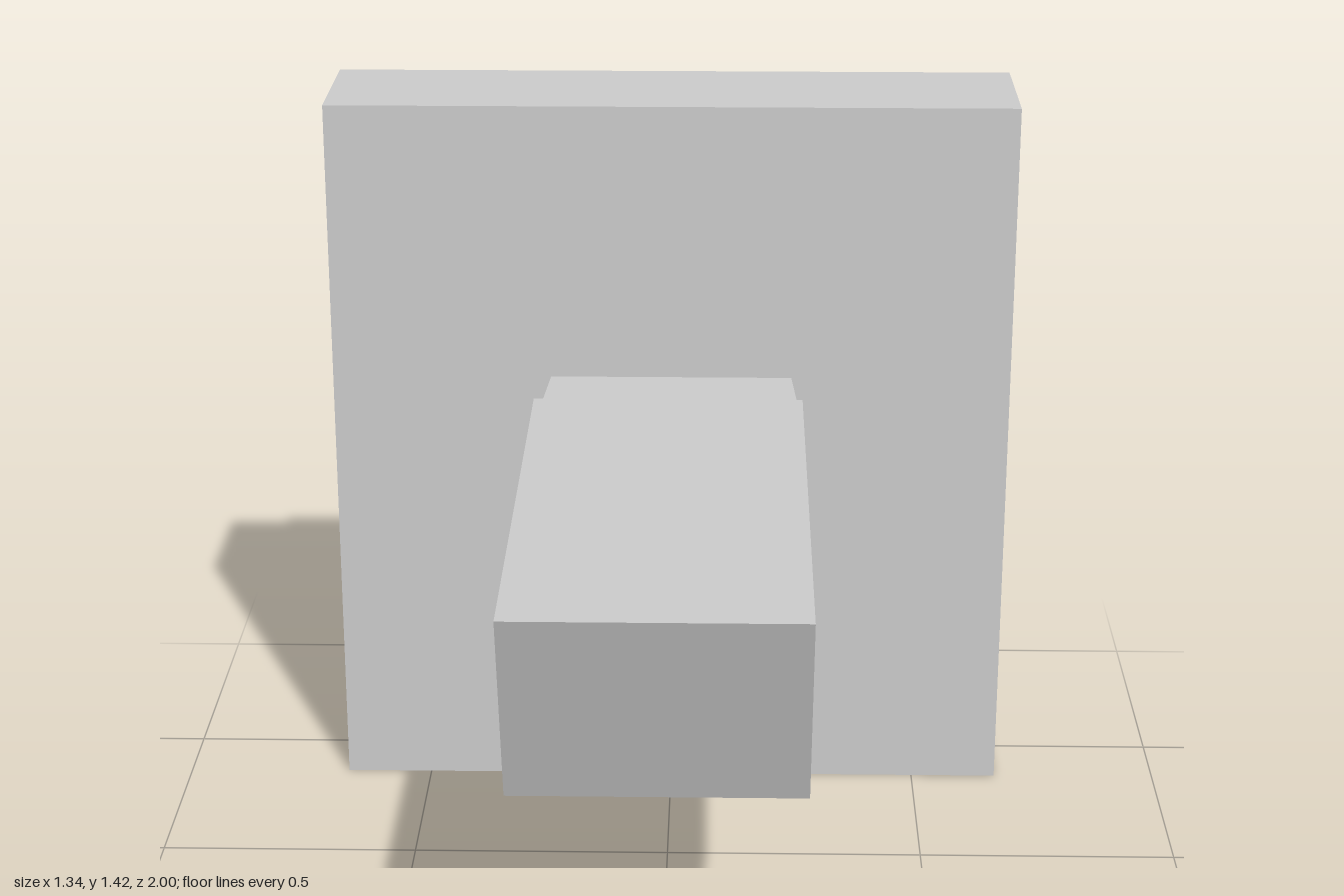
import * as THREE from 'three';

const material = new THREE.MeshStandardMaterial({ color: 0xcccccc, flatShading: true });

function addMesh(parent, name, geometry) {
  const mesh = new THREE.Mesh(geometry, material);
  mesh.name = name;
  parent.add(mesh);
  return mesh;
}

// Block from zFront to zBack whose back rim is chamfered
function chamferedSlab(halfWidth, yMin, yMax, zFront, zBack, chamfer) {
  const geo = new THREE.BoxGeometry(halfWidth * 2, yMax - yMin, 2, 1, 1, 2);
  const pos = geo.attributes.position;
  for (let i = 0; i < pos.count; i++) {
    const z = pos.getZ(i);
    if (z > 0.5) pos.setZ(i, zFront);
    else if (z > -0.5) pos.setZ(i, zBack + chamfer);
    else {
      pos.setXYZ(i,
        pos.getX(i) - Math.sign(pos.getX(i)) * chamfer,
        pos.getY(i) - Math.sign(pos.getY(i)) * chamfer,
        zBack);
    }
  }
  geo.translate(0, (yMin + yMax) / 2, 0);
  geo.computeVertexNormals();
  return geo;
}

export function createModel() {
  const model = new THREE.Group();
  model.name = 'spikedPress';

  // Head: thick slab with a thinner spike plate behind it
  addMesh(model, 'headSlab', chamferedSlab(0.672, 0, 1.42, -0.357, -0.678, 0.027));
  addMesh(model, 'spikePlate', chamferedSlab(0.57, 0.11, 1.315, -0.67, -0.78, 0.02));

  // Handle: side profile (z, y) with slanted end and a step before the neck
  const halfWidth = 0.254;
  const profile = new THREE.Shape([
    [1, 0.93], [-0.06, 0.93], [-0.083, 0.872], [-0.11, 0.872], [-0.11, 0.56], [0.872, 0.56],
  ].map(([z, y]) => new THREE.Vector2(z, y)));
  const handle = new THREE.ExtrudeGeometry(profile, { depth: halfWidth * 2, bevelEnabled: false });
  handle.translate(0, 0, -halfWidth).rotateY(-Math.PI / 2);
  addMesh(model, 'handle', handle);

  // Neck: plan outline (x, z) narrowing gently into the slab
  const plan = new THREE.Shape();
  plan.moveTo(halfWidth, -0.11);
  plan.lineTo(-halfWidth, -0.11);
  plan.lineTo(-0.238, -0.36);
  plan.lineTo(0.238, -0.36);
  const neck = new THREE.ExtrudeGeometry(plan, { depth: 0.312, bevelEnabled: false });
  neck.rotateX(Math.PI / 2).translate(0, 0.872, 0);
  addMesh(model, 'neck', neck);

  // Spikes: six-sided cones in a four by four grid pointing backwards
  const spikes = new THREE.Group();
  spikes.name = 'spikes';
  const spike = new THREE.ConeGeometry(0.083, 0.22, 6);
  spike.rotateY(Math.PI / 2).rotateX(-Math.PI / 2);
  for (const x of [-0.412, -0.17, 0.165, 0.41]) {
    for (const y of [0.28, 0.507, 0.946, 1.172]) {
      addMesh(spikes, 'spike', spike).position.set(x, y, -0.89);
    }
  }
  model.add(spikes);

  return model;
}
